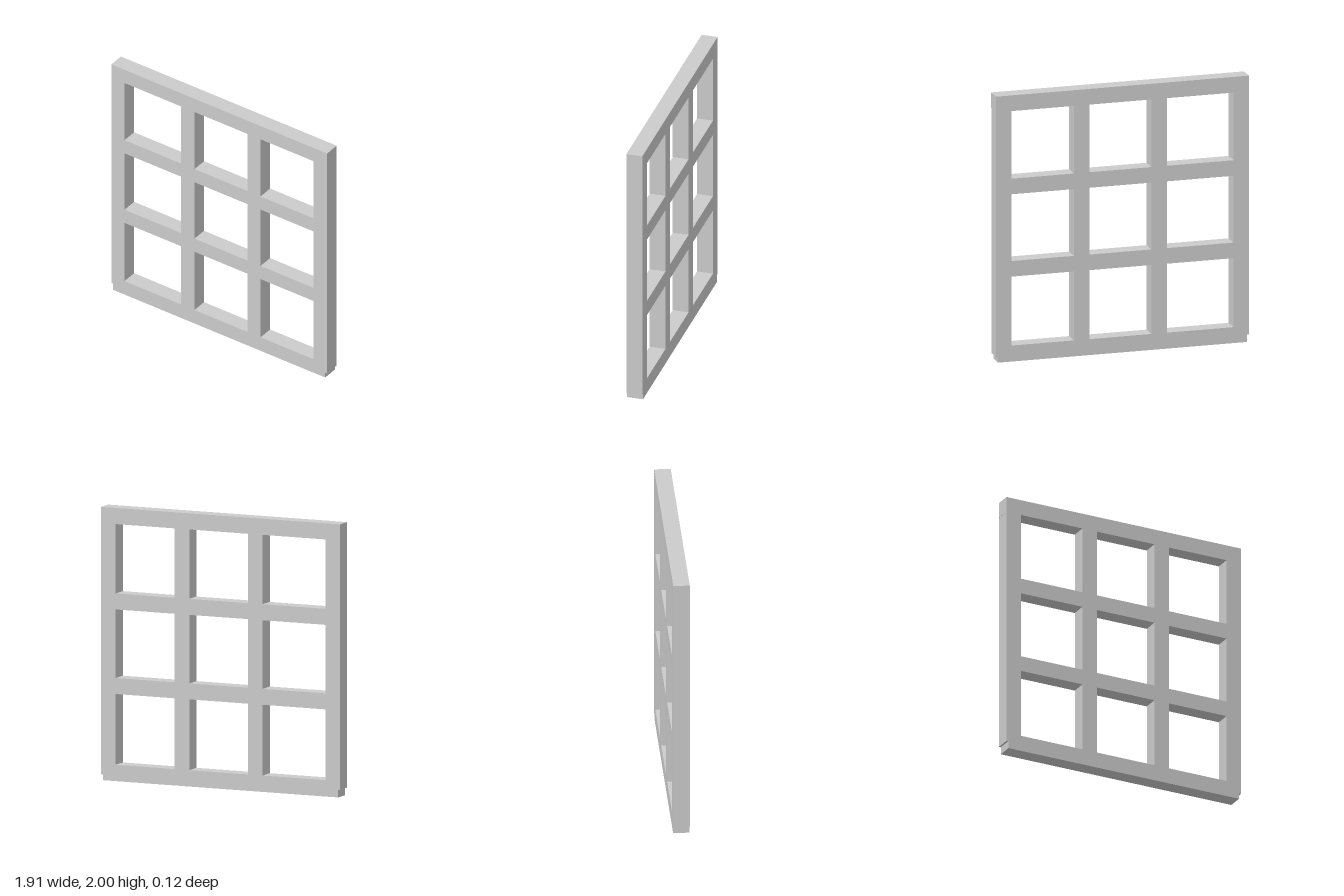
import * as THREE from 'three';

const DEPTH = 0.12;

export function createModel() {
  const group = new THREE.Group();
  group.name = 'windowFrame';
  const material = new THREE.MeshStandardMaterial({ color: 0xcccccc, flatShading: true });

  // A bar given by its edges in the frame's plane
  function bar(name, x0, x1, y0, y1) {
    const mesh = new THREE.Mesh(new THREE.BoxGeometry(x1 - x0, y1 - y0, DEPTH), material);
    mesh.position.set((x0 + x1) / 2, (y0 + y1) / 2, 0);
    mesh.name = name;
    group.add(mesh);
  }

  // Outer frame: the posts stop just above the foot of the bottom rail
  bar('rightPost', -0.957, -0.841, 0.056, 1.99);
  bar('leftPost', 0.836, 0.953, 0.042, 1.99);
  bar('topRail', -0.958, 0.955, 1.882, 2);
  bar('bottomRail', -0.942, 0.938, 0, 0.12);

  // Inner uprights, between the top and bottom rails
  const uprights = [[-0.339, -0.221], [0.248, 0.365]];
  for (const [x0, x1] of uprights) bar('mullion', x0, x1, 0.12, 1.882);

  // Inner crossbars, one piece per opening between the uprights
  const openings = [[-0.841, -0.339], [-0.221, 0.248], [0.365, 0.836]];
  for (const [y0, y1] of [[0.638, 0.755], [1.257, 1.374]]) {
    for (const [x0, x1] of openings) bar('crossbar', x0, x1, y0, y1);
  }

  return group;
}
